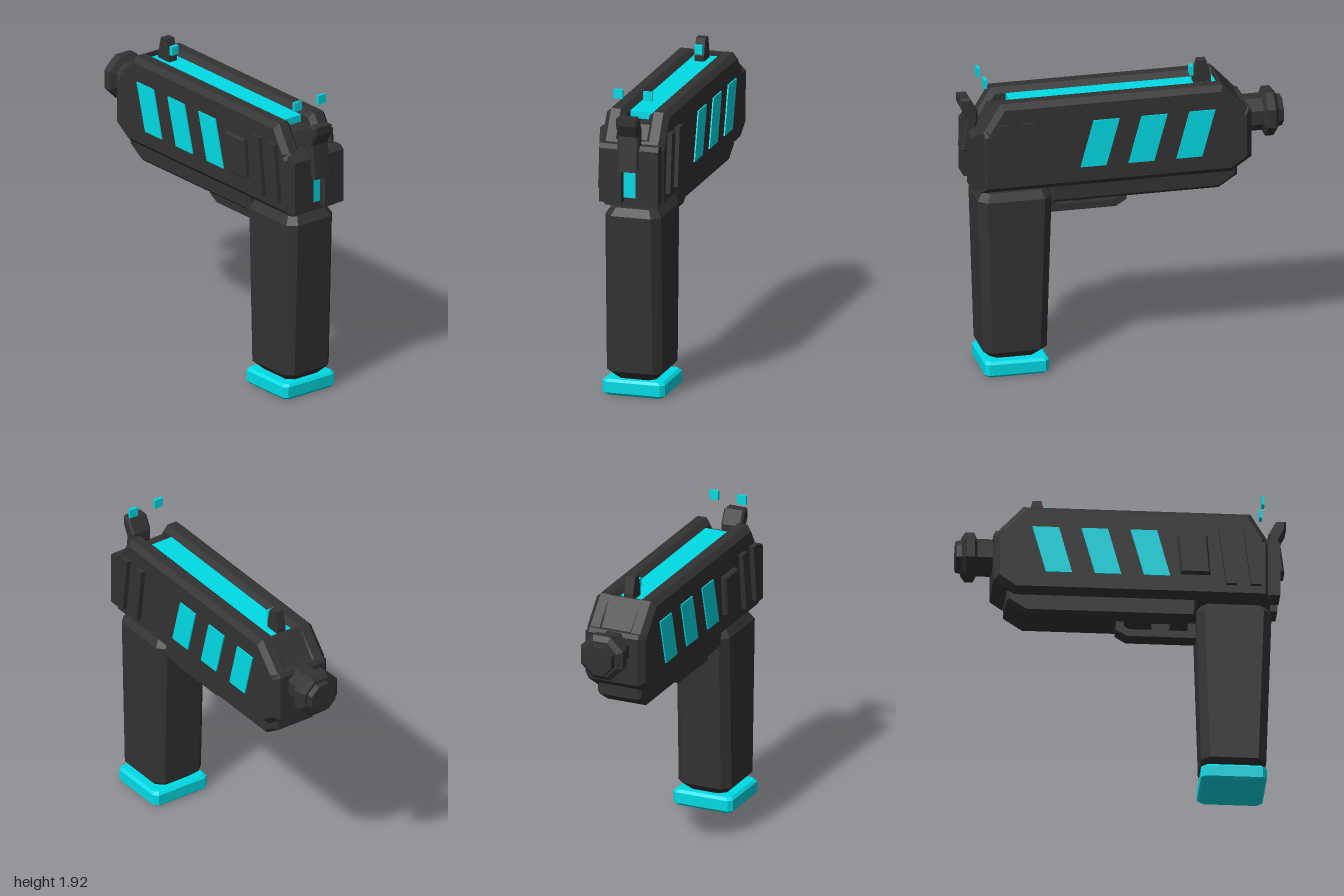
import * as THREE from 'three';
import { ConvexGeometry } from 'three/addons/geometries/ConvexGeometry.js';

export function createModel() {
  const model = new THREE.Group();
  const dark = new THREE.MeshStandardMaterial({ color: 0x333333 });
  dark.name = 'charcoal';
  const cyan = new THREE.MeshStandardMaterial({ color: 0x00dfea });
  cyan.name = 'cyan';

  const add = (name, geometry, material = dark) => {
    const mesh = new THREE.Mesh(geometry, material);
    mesh.name = name;
    model.add(mesh);
    return mesh;
  };

  const outline = (points) => points.map(([z, y]) => new THREE.Vector2(-z, y));

  // Side profile of [z, y] points, extruded from x0 to x1 with chamfered edges
  const prism = (points, x0, x1, bevel = 0, hole = null) => {
    const shape = new THREE.Shape(outline(points));
    if (hole) shape.holes.push(new THREE.Path(outline(hole)));
    const geometry = new THREE.ExtrudeGeometry(shape, {
      depth: x1 - x0 - 2 * bevel, bevelEnabled: bevel > 0, bevelSegments: 1,
      bevelSize: bevel, bevelThickness: bevel, bevelOffset: -bevel,
    });
    return geometry.translate(0, 0, x0 + bevel).rotateY(Math.PI / 2);
  };

  // Solid through octagonal rings of [y, zBack, zFront, halfWidth, cornerCut]
  const octagonStack = (rings) => {
    const points = [];
    for (const [y, z0, z1, w, c] of rings)
      for (const s of [-1, 1])
        points.push(
          new THREE.Vector3(s * w, y, z0 + c), new THREE.Vector3(s * w, y, z1 - c),
          new THREE.Vector3(s * (w - c), y, z0), new THREE.Vector3(s * (w - c), y, z1));
    return new ConvexGeometry(points);
  };

  const box = (x0, x1, y0, y1, z0, z1) =>
    new THREE.BoxGeometry(x1 - x0, y1 - y0, z1 - z0)
      .translate((x0 + x1) / 2, (y0 + y1) / 2, (z0 + z1) / 2);

  // Main body with a raised rail on each side of the top channel
  add('body', prism([[0.9, 1.205], [0.9, 1.58], [0.875, 1.615], [-0.765, 1.615],
    [-0.78, 1.59], [-0.78, 1.29], [-0.655, 1.205]], -0.199, 0.199, 0.035));
  const railProfile = [[0.877, 1.45], [0.877, 1.61], [0.775, 1.777], [-0.6, 1.777],
    [-0.755, 1.61], [-0.755, 1.45]];
  add('leftTopRail', prism(railProfile, 0.072, 0.199, 0.033));
  add('rightTopRail', prism(railProfile, -0.199, -0.072, 0.033));
  add('channelFloor', prism([[0.87, 1.58], [0.8, 1.7], [-0.6, 1.7], [-0.6, 1.58]], -0.09, 0.09));
  add('noseBridge', prism([[-0.59, 1.6], [-0.59, 1.775], [-0.602, 1.775], [-0.75, 1.6]], -0.115, 0.115));
  add('topStrip', box(-0.073, 0.073, 1.7, 1.745, -0.59, 0.69), cyan);

  // Underside rail, trigger guard and trigger
  add('lowerRail', prism([[0.46, 1.25], [0.46, 1.19], [0.45, 1.09], [-0.585, 1.09],
    [-0.7, 1.165], [-0.7, 1.25]], -0.147, 0.147, 0.02));
  add('triggerGuard', prism(
    [[0.455, 1.11], [0.455, 0.995], [0.035, 0.995], [-0.03, 1.035], [-0.03, 1.11]],
    -0.055, 0.055, 0,
    [[0.405, 1.1], [0.405, 1.04], [0.045, 1.04], [0.02, 1.06], [0.02, 1.1]]));
  add('trigger', prism([[0.31, 1.11], [0.285, 1.035], [0.195, 1.035], [0.18, 1.11]], -0.035, 0.035));

  // Grip and its base plate
  add('grip', octagonStack([
    [0.1, 0.535, 0.825, 0.125, 0.04], [0.152, 0.48, 0.875, 0.177, 0.05],
    [1.137, 0.45, 0.907, 0.177, 0.05], [1.185, 0.48, 0.875, 0.145, 0.04]]));
  add('basePlate', octagonStack([
    [0, 0.493, 0.862, 0.182, 0.025], [0.016, 0.477, 0.875, 0.198, 0.025],
    [0.084, 0.477, 0.875, 0.198, 0.025], [0.1, 0.493, 0.862, 0.182, 0.025]]), cyan);

  // Eight-sided barrel: [z, flat radius] steps along its axis
  const steps = [[-0.7, 0.105], [-0.872, 0.105], [-0.89, 0.14], [-0.94, 0.14],
    [-0.965, 0.11], [-0.965, 0.095], [-1, 0.088], [-1, 0]];
  const barrel = new THREE.LatheGeometry(
    steps.map(([z, r]) => new THREE.Vector2(r / Math.cos(Math.PI / 8), -z)), 8, Math.PI / 8)
    .rotateX(-Math.PI / 2).translate(0, 1.508, 0).toNonIndexed();
  barrel.computeVertexNormals();
  add('barrel', barrel);

  // Rear plates with a glowing slot between them, and the hammer
  const rearProfile = [[0.955, 1.237], [0.955, 1.575], [0.93, 1.6], [0.88, 1.6], [0.88, 1.237]];
  add('leftRearPlate', prism(rearProfile, 0.045, 0.187));
  add('rightRearPlate', prism(rearProfile, -0.187, -0.045));
  add('rearSlot', box(-0.045, 0.045, 1.262, 1.47, 0.9, 0.908), cyan);
  add('hammer', prism([[1, 1.787], [0.94, 1.787], [0.893, 1.7], [0.893, 1.64], [0.945, 1.445],
    [0.99, 1.445], [0.962, 1.66], [1, 1.735]], -0.068, 0.068, 0.012));

  // Sights
  add('frontSight', prism([[-0.453, 1.74], [-0.453, 1.78], [-0.48, 1.885], [-0.533, 1.885],
    [-0.56, 1.78], [-0.56, 1.74]], -0.03, 0.03));
  add('frontSightDot', box(-0.025, 0.025, 1.793, 1.85, -0.455, -0.432), cyan);
  for (const s of [-1, 1])
    add('rearSightDot', box(-0.029, 0.029, 1.867, 1.925, 0.848, 0.866), cyan).position.x = s * 0.093;

  // Slanted side windows and rear grip ridges on both sides
  for (const [side, s] of [['left', 1], ['right', -1]]) {
    const span = (inner, outer) => (s > 0 ? [inner, outer] : [-outer, -inner]);
    for (let i = 0; i < 3; i++) {
      const d = -0.297 * i;
      add(side + 'Window', prism([[0.287 + d, 1.335], [0.207 + d, 1.633], [0.046 + d, 1.633],
        [0.128 + d, 1.335]], ...span(0.2, 0.2085)), cyan);
    }
    for (let i = 0; i < 2; i++) {
      const d = -0.15 * i;
      add(side + 'Ridge', prism([[0.84 + d, 1.288], [0.8 + d, 1.656], [0.73 + d, 1.656],
        [0.775 + d, 1.288]], ...span(0.19, 0.229)));
    }
  }

  // Raised button on the right side only
  add('sideButton', prism([[0.53, 1.35], [0.51, 1.6], [0.33, 1.6], [0.35, 1.35]], -0.232, -0.17, 0.01));

  return model;
}
